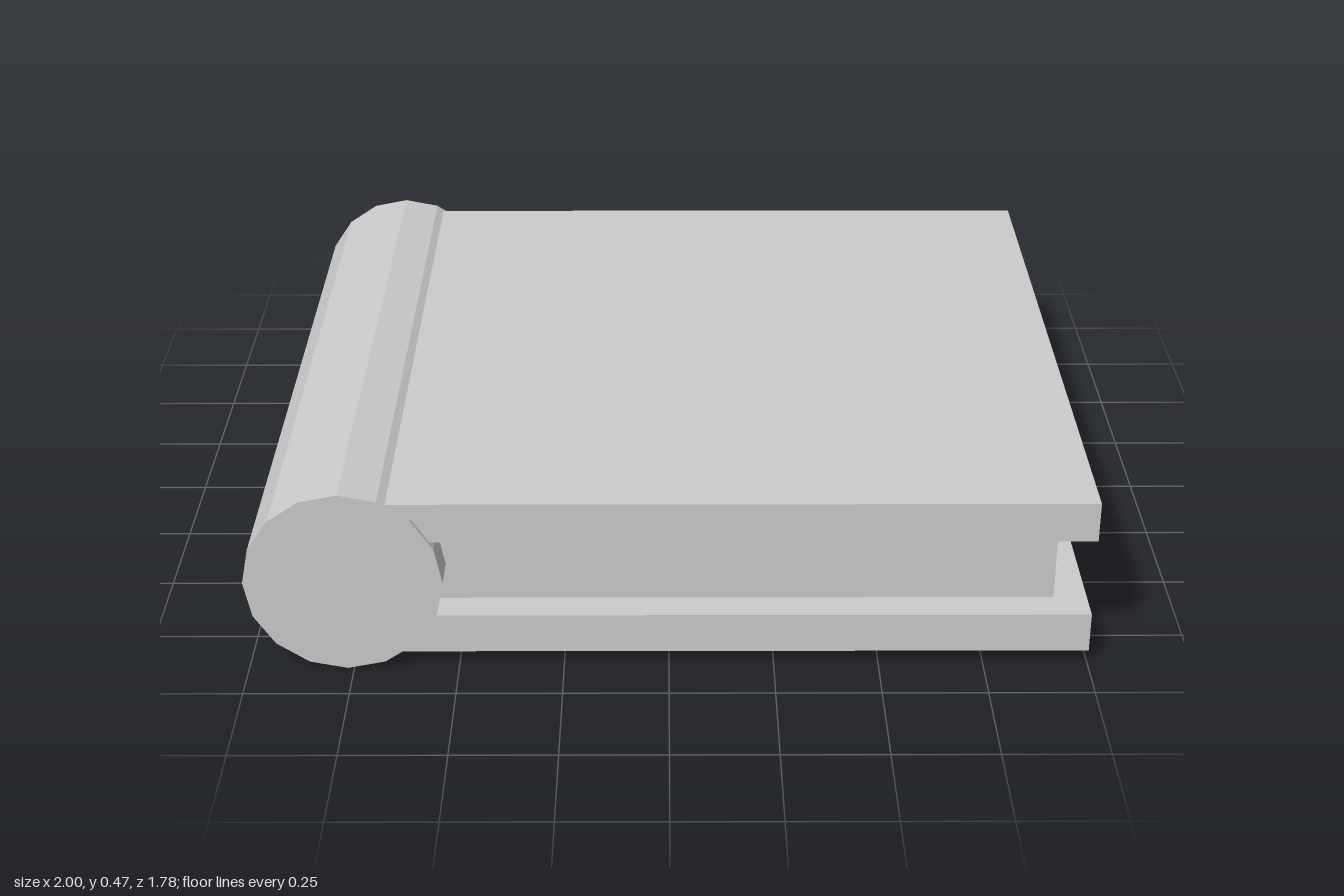
import * as THREE from 'three';

export function createModel() {
  const group = new THREE.Group();
  group.name = 'book';
  const material = new THREE.MeshStandardMaterial({ color: 0xcccccc, flatShading: true });

  const add = (name, geometry, x, y) => {
    const mesh = new THREE.Mesh(geometry, material);
    mesh.name = name;
    mesh.position.set(x, y, 0);
    group.add(mesh);
  };

  // Slab between two x positions, centred in z
  const slab = (name, x0, x1, y, height, depth) =>
    add(name, new THREE.BoxGeometry(x1 - x0, height, depth), (x0 + x1) / 2, y);

  // Round spine: 16-sided cylinder lying along z
  const spine = new THREE.CylinderGeometry(0.235, 0.235, 1.78, 16);
  spine.rotateX(Math.PI / 2);
  add('spine', spine, -0.765, 0.235);

  // Covers and the inset page block, their inner ends sunk into the spine
  slab('bottomCover', -0.76, 1, 0.09, 0.1, 1.76);
  slab('pages', -0.76, 0.92, 0.24, 0.2, 1.6);
  slab('topCover', -0.76, 1, 0.39, 0.1, 1.76);

  return group;
}
